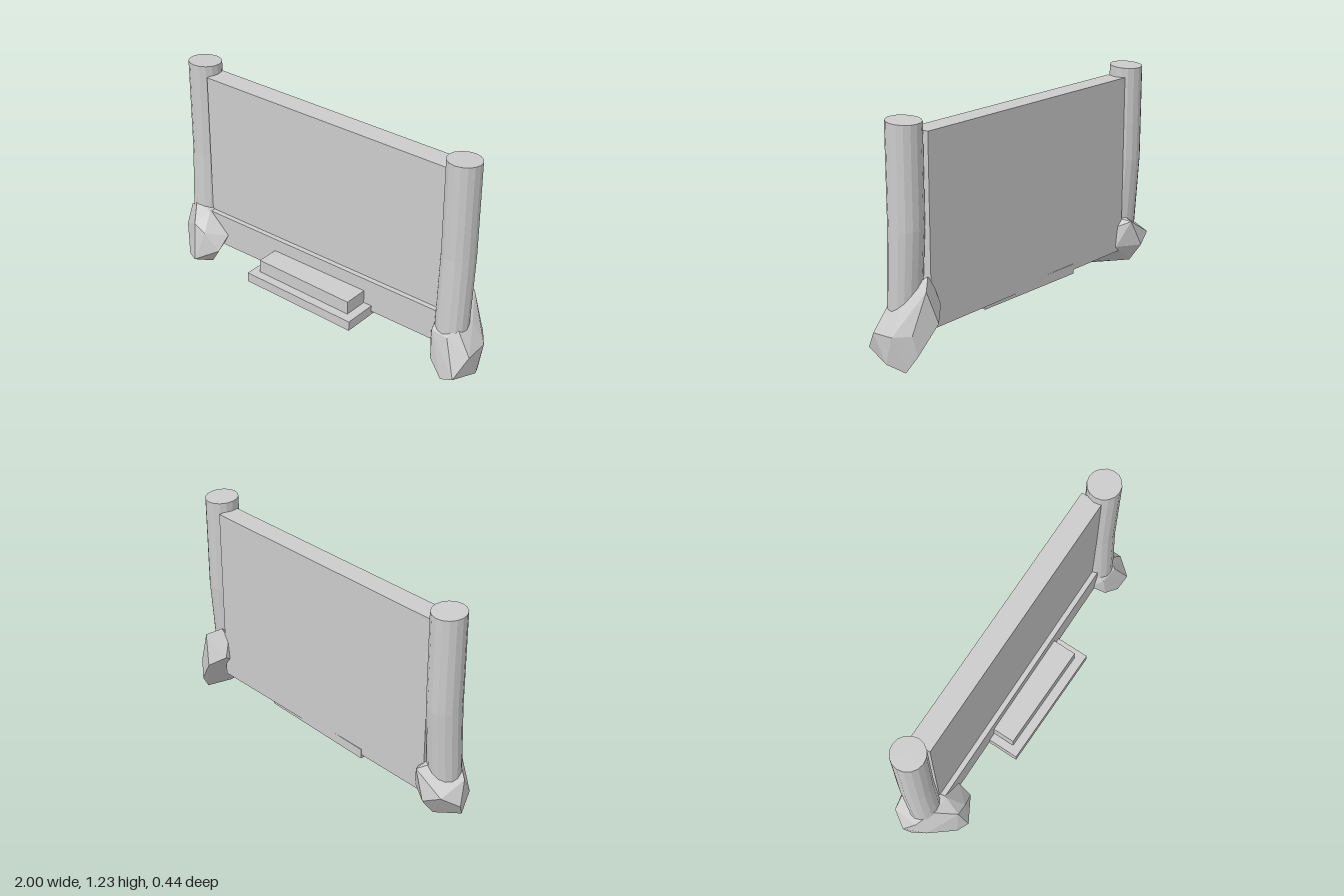
import * as THREE from 'three';
import { ConvexGeometry } from 'three/addons/geometries/ConvexGeometry.js';

const material = new THREE.MeshStandardMaterial({ color: 0xcccccc, flatShading: true });

function addMesh(parent, name, geometry) {
  const mesh = new THREE.Mesh(geometry, material);
  mesh.name = name;
  parent.add(mesh);
  return mesh;
}

// Box given by its minimum and maximum on each axis
function addBox(parent, name, [x0, x1], [y0, y1], [z0, z1]) {
  const mesh = addMesh(parent, name, new THREE.BoxGeometry(x1 - x0, y1 - y0, z1 - z0));
  mesh.position.set((x0 + x1) / 2, (y0 + y1) / 2, (z0 + z1) / 2);
  return mesh;
}

// Round post with a slanted top, bent slightly forward at its foot
function postGeometry() {
  const bottom = 0.17, top = 1.225, bend = 0.7;
  const geometry = new THREE.CylinderGeometry(0.09, 0.09, top - bottom, 16, 2);
  const p = geometry.attributes.position;
  for (let i = 0; i < p.count; i++) {
    const level = Math.round((p.getY(i) / (top - bottom) + 0.5) * 2);
    const z = p.getZ(i);
    p.setY(i, [bottom, bend, top + z * 0.06][level]);
    if (level === 0) p.setZ(i, z * 0.92 + 0.03);
  }
  geometry.computeVertexNormals();
  return geometry;
}

function rockGeometry(corners) {
  return new ConvexGeometry(corners.map((c) => new THREE.Vector3(...c)));
}

// Corners of the two faceted boulders at the feet of the posts
const rightRock = [
  [-0.87, 0.375, 0.05], [-0.96, 0.30, 0.0], [-0.76, 0.36, 0.06], [-0.79, 0.31, 0.155],
  [-0.635, 0.24, 0.05], [-0.64, 0.17, 0.125], [-0.765, 0.10, 0.195], [-0.715, 0.065, 0.1],
  [-0.755, 0.05, 0.1], [-0.83, 0.10, 0.165], [-0.9, 0.075, 0.05], [-0.98, 0.12, -0.03],
  [-1.0, 0.19, -0.065], [-0.945, 0.25, -0.15], [-0.85, 0.20, -0.18], [-0.78, 0.35, -0.16],
  [-0.72, 0.20, -0.1], [-0.85, 0.09, -0.1], [-0.95, 0.20, 0.055], [-0.72, 0.27, 0.15],
];
const leftRock = [
  [0.79, 0.455, -0.13], [0.86, 0.41, -0.19], [0.745, 0.40, -0.12], [0.73, 0.30, -0.155],
  [0.81, 0.24, -0.22], [0.94, 0.20, -0.17], [0.92, 0.09, -0.185], [0.95, 0.0, -0.13],
  [0.90, 0.01, 0.0], [0.995, 0.035, -0.04], [0.96, 0.07, 0.12], [0.88, 0.03, 0.11],
  [0.79, 0.10, 0.075], [0.735, 0.20, 0.0], [0.78, 0.265, 0.06], [0.88, 0.265, 0.07],
  [0.90, 0.325, 0.02], [0.93, 0.31, -0.08], [1.0, 0.19, -0.09], [1.0, 0.18, 0.04],
];

export function createModel() {
  const model = new THREE.Group();
  model.name = 'panelBetweenPosts';

  // Wall panel with a shallow plinth, turned a touch about the vertical
  const wall = new THREE.Group();
  wall.name = 'wall';
  wall.rotation.y = 0.02;
  addBox(wall, 'panel', [-0.77, 0.77], [0.17, 1.17], [-0.112, 0.007]);
  addBox(wall, 'plinth', [-0.77, 0.77], [0.17, 0.355], [-0.1, 0.035]);
  model.add(wall);

  // Two steps in front
  addBox(model, 'lowerStep', [-0.335, 0.37], [0.15, 0.205], [-0.11, 0.215]);
  addBox(model, 'upperStep', [-0.29, 0.32], [0.205, 0.28], [-0.05, 0.165]);

  // Posts and their boulders
  for (const [side, x, rock] of [['right', -0.845, rightRock], ['left', 0.845, leftRock]]) {
    addMesh(model, side + 'Post', postGeometry()).position.set(x, 0, -0.046);
    addMesh(model, side + 'Boulder', rockGeometry(rock));
  }
  return model;
}
